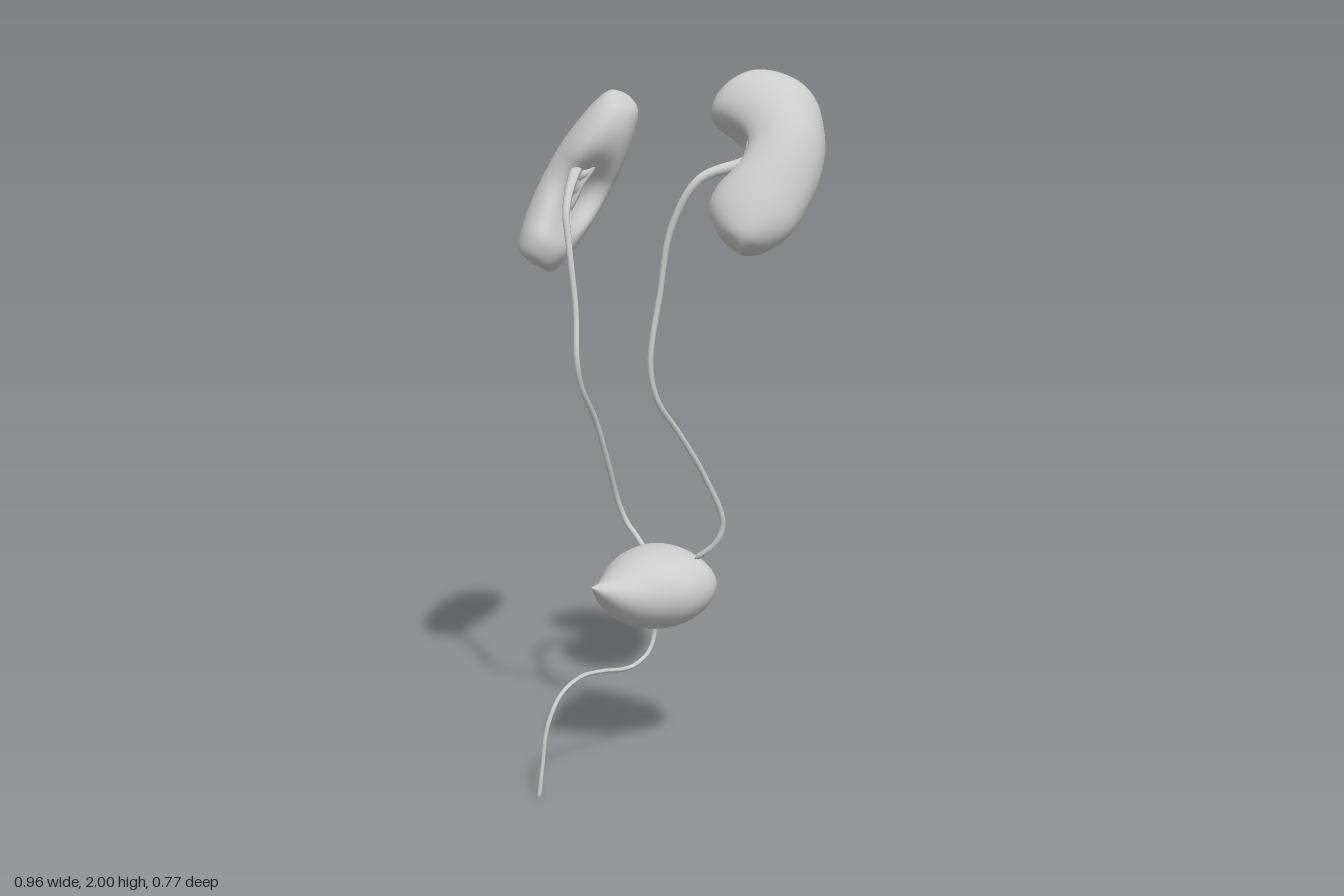
import * as THREE from 'three';
import { mergeVertices } from 'three/addons/utils/BufferGeometryUtils.js';

const V = (x, y, z) => new THREE.Vector3(x, y, z);
const material = new THREE.MeshStandardMaterial({ color: 0xcccccc, roughness: 0.7 });

function addMesh(group, geometry, name) {
  const mesh = new THREE.Mesh(geometry, material);
  mesh.name = name;
  group.add(mesh);
}

// Smooth closed skin over rings; point(u, angle) gives the surface
function loft(rows, cols, point) {
  const pos = [], index = [];
  for (let i = 0; i <= rows; i++) {
    const u = (1 - Math.cos((Math.PI * i) / rows)) / 2;
    for (let j = 0; j < cols; j++) pos.push(...point(u, (j / cols) * Math.PI * 2).toArray());
  }
  for (let i = 0; i < rows; i++) {
    for (let j = 0; j < cols; j++) {
      const a = i * cols + j, b = i * cols + ((j + 1) % cols);
      if (i < rows - 1) index.push(a + cols, b + cols, b);
      if (i > 0) index.push(a, a + cols, b);
    }
  }
  const g = new THREE.BufferGeometry();
  g.setAttribute('position', new THREE.Float32BufferAttribute(pos, 3));
  g.setIndex(index);
  return mergeVertices(g, 1e-5);
}

// Round tube along points, tapering from r0 to r1, closed at both ends
function vessel(points, r0, r1, taper = 1, segments = 60) {
  const curve = new THREE.CatmullRomCurve3(points);
  const sides = 10;
  const g = new THREE.TubeGeometry(curve, segments, 1, sides);
  const p = g.attributes.position, v = V();
  for (let i = 0; i <= segments; i++) {
    const c = curve.getPointAt(i / segments);
    const end = i === 0 || i === segments;
    const r = end ? 1e-4 : r1 + (r0 - r1) * Math.pow(1 - i / segments, taper);
    for (let j = 0; j <= sides; j++) {
      const k = i * (sides + 1) + j;
      v.fromBufferAttribute(p, k).sub(c).multiplyScalar(r).add(c);
      p.setXYZ(k, v.x, v.y, v.z);
    }
  }
  g.computeVertexNormals();
  return g;
}

const curve2 = (pts) => new THREE.CatmullRomCurve3(pts.map(([x, y]) => V(x, y, 0)));

// Bean outlines: hilum edge and convex edge, lower pole to upper pole
const leftBean = {
  inner: curve2([[-0.04, -0.258], [-0.1, -0.21], [-0.135, -0.14], [-0.125, -0.085], [-0.085, -0.035],
    [-0.065, 0.02], [-0.08, 0.06], [-0.12, 0.1], [-0.155, 0.135], [-0.15, 0.185], [-0.11, 0.225], [-0.06, 0.248]]),
  outer: curve2([[-0.04, -0.258], [0.02, -0.245], [0.08, -0.2], [0.125, -0.11], [0.148, -0.03],
    [0.155, 0.05], [0.145, 0.12], [0.127, 0.18], [0.09, 0.23], [0.03, 0.26], [-0.02, 0.262], [-0.06, 0.248]]),
};
const rightBean = {
  inner: curve2([[-0.09, -0.28], [-0.15, -0.26], [-0.172, -0.2], [-0.15, -0.14], [-0.128, -0.09], [-0.112, -0.04],
    [-0.118, 0.01], [-0.138, 0.06], [-0.143, 0.11], [-0.13, 0.18], [-0.09, 0.25], [-0.02, 0.288]]),
  outer: curve2([[-0.09, -0.28], [-0.02, -0.283], [0.05, -0.265], [0.09, -0.21], [0.113, -0.13], [0.13, -0.04],
    [0.142, 0.04], [0.143, 0.1], [0.128, 0.17], [0.095, 0.23], [0.045, 0.275], [-0.02, 0.288]]),
};

// Kidney fitted to a box; returns a function placing bean coordinates in the model
function addKidney(group, { bean, side, yaw, tilt, dent, turn, spread, reach, min, max }) {
  const centre = Math.PI - side * turn;
  const geometry = loft(60, 56, (u, angle) => {
    const a = bean.inner.getPoint(u), b = bean.outer.getPoint(u);
    const mid = a.clone().add(b).multiplyScalar(0.5), half = b.clone().sub(mid);
    const across = half.clone().normalize();
    const thick = 0.105 * Math.pow(2 * Math.sqrt(Math.max(0, u * (1 - u))), 1.1);
    const hollow = dent * Math.exp(-(((angle - centre) / spread) ** 2)) * Math.exp(-(((u - 0.5) / reach) ** 2));
    const p = mid.addScaledVector(half, Math.cos(angle)).addScaledVector(across, hollow);
    p.z = side * thick * Math.sin(angle);
    return p;
  });
  const cy = Math.cos(yaw), sy = Math.sin(yaw), ct = Math.cos(tilt), st = Math.sin(tilt);
  const basis = new THREE.Matrix4().makeBasis(
    V(side * cy, 0, -sy), V(-side * sy * st, ct, -cy * st), V(side * sy * ct, st, cy * ct));
  geometry.applyMatrix4(basis);
  geometry.computeBoundingBox();
  const box = geometry.boundingBox;
  const scale = max.clone().sub(min).divide(box.getSize(V()));
  const shift = min.clone().sub(box.min.clone().multiply(scale));
  const fit = new THREE.Matrix4().makeScale(scale.x, scale.y, scale.z).setPosition(shift);
  geometry.applyMatrix4(fit);
  geometry.computeVertexNormals();
  addMesh(group, geometry, 'kidney');
  const matrix = fit.multiply(basis);
  return (x, y, n) => V(x, y, n).applyMatrix4(matrix);
}

// Cups and vessels gathered in the hollow of a kidney
function addHilum(group, place, { inset, front, stretch }) {
  const path = (pts) => pts.map((p) => place(p[0] + inset, p[1] * stretch, p[2] + front));
  for (const [y, n] of [[0.1, 0.02], [0.06, -0.035], [0.0, 0.035], [-0.05, -0.03], [-0.09, 0.015]]) {
    addMesh(group, vessel(path([[-0.06, 0, 0], [-0.045, y * 0.5, n * 0.8], [0.0, y, n]]), 0.013, 0.017, 1, 16), 'calyx');
  }
  for (const n of [-0.035, 0.035]) {
    addMesh(group, vessel(path([[0, 0.11, n * 0.5], [-0.045, 0.06, n], [-0.05, -0.01, n * 0.9],
      [-0.04, -0.07, n], [0, -0.11, n * 0.5]]), 0.009, 0.009, 1, 30), 'hilumVessel');
  }
}

function addBladder(group) {
  // Rows: z, half width, bottom, top
  const rows = [[0.165, 0, 0.565, 0.567], [0.13, 0.027, 0.523, 0.569], [0.09, 0.057, 0.482, 0.573],
    [0.04, 0.095, 0.442, 0.59], [-0.02, 0.134, 0.413, 0.617], [-0.08, 0.163, 0.4, 0.63], [-0.13, 0.172, 0.404, 0.635],
    [-0.17, 0.168, 0.422, 0.63], [-0.2, 0.152, 0.45, 0.612], [-0.216, 0.115, 0.475, 0.59], [-0.221, 0, 0.535, 0.535]];
  const wide = new THREE.CatmullRomCurve3(rows.map((r) => V(r[1], 0, r[0])));
  const tall = new THREE.CatmullRomCurve3(rows.map((r) => V(r[2], r[3], 0)));
  const geometry = loft(44, 48, (u, angle) => {
    const w = wide.getPoint(u), t = tall.getPoint(u);
    return V(0.007 + w.x * Math.cos(angle), (t.x + t.y) / 2 + ((t.y - t.x) / 2) * Math.sin(angle), w.z);
  });
  geometry.computeVertexNormals();
  addMesh(group, geometry, 'bladder');
}

export function createModel() {
  const model = new THREE.Group();
  model.name = 'urinarySystem';

  const sides = [
    { name: 'left', bean: leftBean, side: 1, yaw: 0.58, tilt: 0.63,
      dent: 0.045, turn: 0, spread: 0.42, reach: 0.13,
      min: V(0.13, 1.51, -0.385), max: V(0.48, 2, 0.003),
      inset: 0.01, front: 0, stretch: 1, pelvis: [[0, 0.02, 0], [-0.06, 0, 0]],
      ureter: [[0.225, 1.71, -0.035], [0.17, 1.58, 0.015], [0.147, 1.4, 0.035], [0.137, 1.2, 0.063],
        [0.143, 1.1, 0.04], [0.155, 1, -0.035], [0.175, 0.87, -0.12], [0.195, 0.72, -0.182],
        [0.175, 0.66, -0.172], [0.12, 0.61, -0.145]] },
    { name: 'right', bean: rightBean, side: -1, yaw: 0.8, tilt: 0.55,
      dent: 0.085, turn: -0.4, spread: 0.6, reach: 0.22,
      min: V(-0.48, 1.41, -0.305), max: V(-0.18, 1.93, 0.05),
      inset: -0.02, front: 0.02, stretch: 1.2, pelvis: [[-0.03, 0.08, 0.02], [-0.085, 0.02, 0.025]],
      ureter: [[-0.235, 1.6, 0.01], [-0.205, 1.5, 0.03], [-0.17, 1.32, 0.04], [-0.145, 1.18, 0.062],
        [-0.148, 1.1, 0.04], [-0.157, 1, -0.025], [-0.17, 0.85, -0.095], [-0.178, 0.73, -0.145],
        [-0.155, 0.665, -0.162], [-0.12, 0.64, -0.157], [-0.075, 0.61, -0.145]] },
  ];

  for (const s of sides) {
    const group = new THREE.Group();
    group.name = s.name + 'Kidney';
    model.add(group);
    const place = addKidney(group, s);
    addHilum(group, place, s);

    // Ureter widening into the renal pelvis
    const points = s.pelvis.map((p) => place(...p)).concat(s.ureter.map((p) => V(...p)));
    addMesh(model, vessel(points, 0.024, 0.0082, 9, 120), s.name + 'Ureter');
  }

  addBladder(model);

  // Urethra
  const urethra = [[0.43, -0.1], [0.37, -0.1], [0.325, -0.075], [0.3, -0.02], [0.297, 0.03], [0.311, 0.12],
    [0.314, 0.21], [0.28, 0.29], [0.2, 0.343], [0.1, 0.362], [0, 0.378]];
  addMesh(model, vessel(urethra.map(([y, z]) => V(0.006, y, z)), 0.0065, 0.006, 1, 100), 'urethra');

  return model;
}
